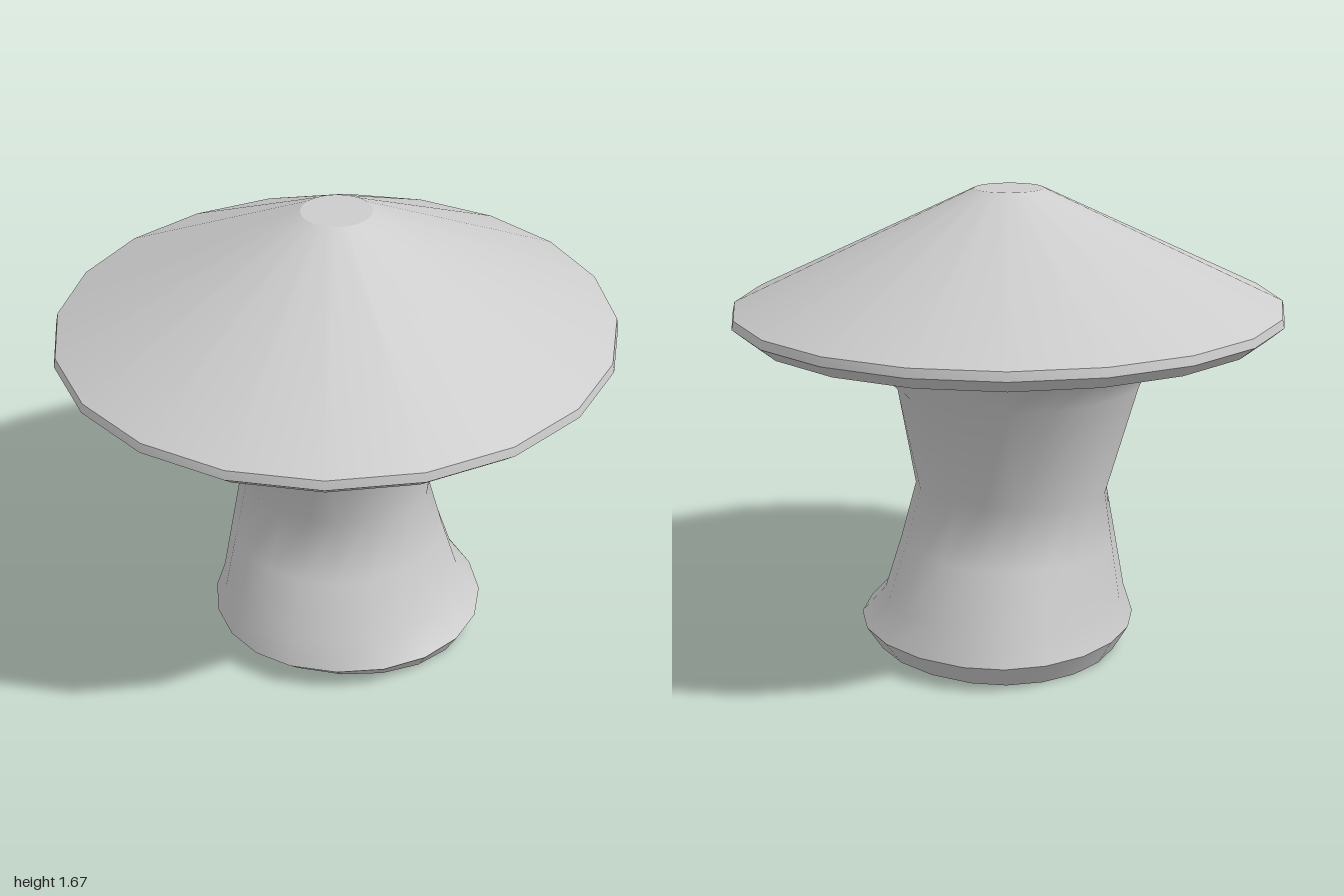
import * as THREE from 'three';
import { toCreasedNormals } from 'three/addons/utils/BufferGeometryUtils.js';

const SIDES = 20;

// Smooth skin through horizontal rings, each { y, right (+x), left (-x), front (+z), back (-z), notch }.
function loft(rings) {
  const positions = [], index = [];
  for (const { y, right, left, front, back, notch } of rings) {
    for (let i = 0; i < SIDES; i++) {
      const a = (i / SIDES) * Math.PI * 2;
      const c = Math.cos(a), s = Math.sin(a); // s > 0 points to the back
      let x = c * (c > 0 ? right : left);
      let z = -s * (s > 0 ? back : front);
      const deg = (i * 360) / SIDES;
      if (notch && deg > 40 && deg < 120) { x = c * notch; z = -s * notch; }
      positions.push(x, y, z);
    }
  }
  for (let r = 0; r < rings.length - 1; r++) {
    for (let i = 0; i < SIDES; i++) {
      const j = (i + 1) % SIDES;
      const a = r * SIDES + i, b = r * SIDES + j, c = a + SIDES, d = b + SIDES;
      index.push(a, b, d, a, d, c);
    }
  }
  const geometry = new THREE.BufferGeometry();
  geometry.setAttribute('position', new THREE.Float32BufferAttribute(positions, 3));
  geometry.setIndex(index);
  geometry.computeVertexNormals();
  return geometry;
}

export function createModel() {
  const group = new THREE.Group();
  const grey = new THREE.MeshStandardMaterial({ color: 0xcccccc });
  grey.name = 'plain grey';

  const add = (name, geometry) => {
    const mesh = new THREE.Mesh(geometry, grey);
    mesh.name = name;
    group.add(mesh);
    return mesh;
  };

  // Shallow conical cap with a bevelled rim and a small flat crown
  const capProfile = [
    [0, 1.2], [0.945, 1.2], [1, 1.245], [0.993, 1.275], [0.125, 1.675], [0, 1.675],
  ].map(([r, y]) => new THREE.Vector2(r, y));
  const cap = new THREE.LatheGeometry(capProfile, SIDES);
  cap.scale(0.97, 1, 1);
  add('cap', toCreasedNormals(cap, 0.4));

  // Lopsided stem: foot, pinched waist and a flare that is cut short at the back
  const foot = { y: 0, right: 0.5, left: 0.4, front: 0.4, back: 0.435 };
  const ledge = { y: 0.095, right: 0.55, left: 0.455, front: 0.5, back: 0.515 };
  add('stem', loft([
    ledge,
    { y: 0.2, right: 0.455, left: 0.42, front: 0.475, back: 0.475 },
    { y: 0.4, right: 0.395, left: 0.39, front: 0.385, back: 0.385 },
    { y: 0.6, right: 0.345, left: 0.36, front: 0.29, back: 0.29 },
    { y: 1.0, right: 0.39, left: 0.475, front: 0.48, back: 0.48 },
    { y: 1.11, right: 0.52, left: 0.52, front: 0.56, back: 0.56, notch: 0.54 },
    { y: 1.2, right: 0.78, left: 0.78, front: 0.82, back: 0.82, notch: 0.59 },
  ]));

  // Bevelled foot under the stem
  add('foot', loft([foot, ledge]));

  // Flat sole
  const sole = add('sole', loft([{ y: 0, right: 0, left: 0, front: 0, back: 0 }, foot]));
  sole.geometry.computeVertexNormals();

  return group;
}
